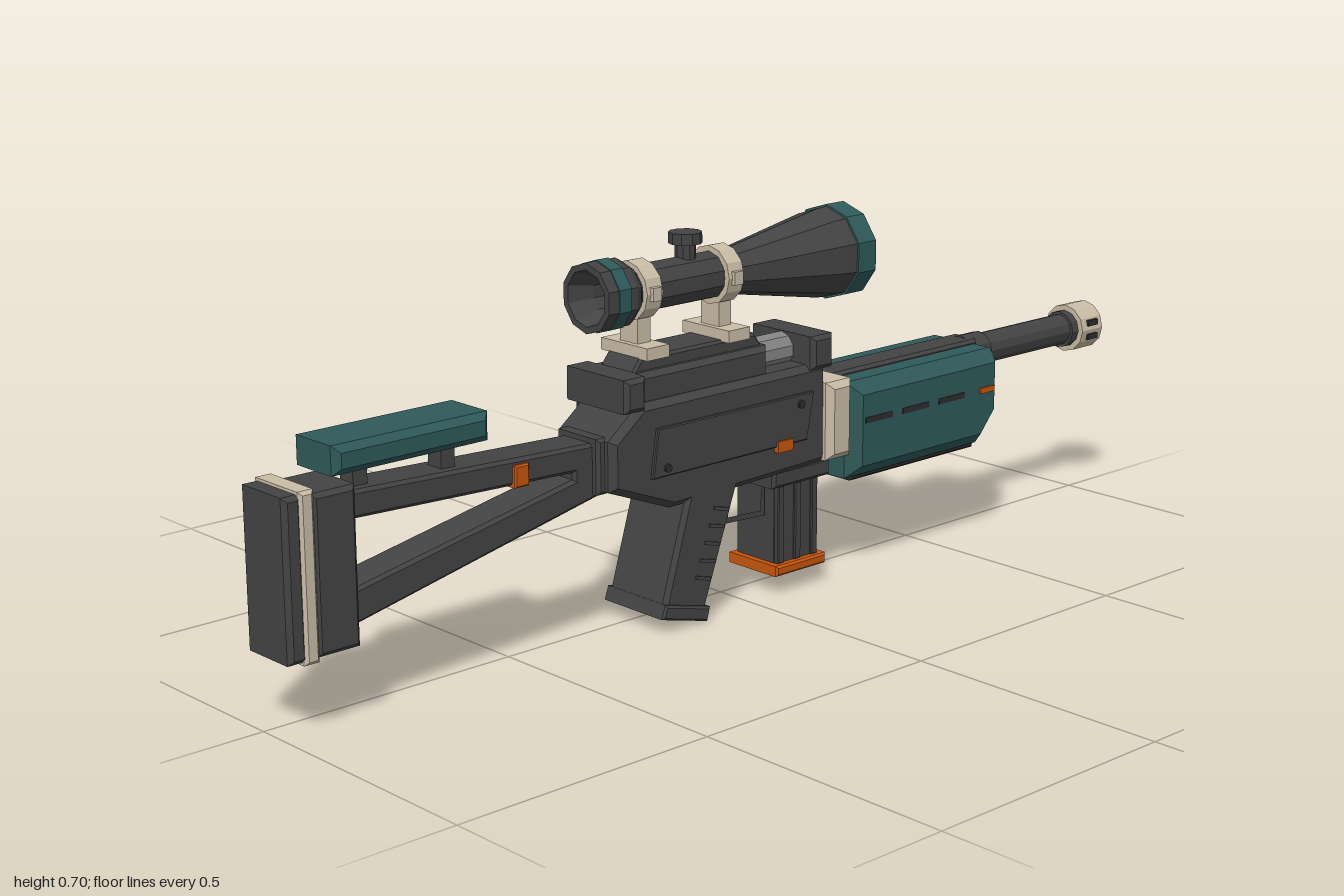
import * as THREE from 'three';

const mat = (name, color) => Object.assign(new THREE.MeshStandardMaterial({ color }), { name });

export function createModel() {
  const dark = mat('charcoal', 0x434343), black = mat('black rubber', 0x2d2d2d);
  const teal = mat('teal', 0x2f5a5a), cream = mat('cream', 0xcabda6);
  const orange = mat('orange', 0xc8560c), steel = mat('steel', 0x858585);

  const model = new THREE.Group();
  model.name = 'model';
  const body = new THREE.Group();
  body.name = 'body';
  body.position.x = 0.024; // the bolt handle sticks out on one side
  model.add(body);

  const add = (name, geo, material) => {
    const flat = geo.index ? geo.toNonIndexed() : geo;
    flat.computeVertexNormals();
    const mesh = new THREE.Mesh(flat, material);
    mesh.name = name;
    body.add(mesh);
    return mesh;
  };
  const poly = pts => pts.map(p => new THREE.Vector2(p[0], p[1]));

  // Side profile in (z, y), extruded across x with a chamfer
  const slab = (name, pts, width, material, bevel = 0.008, x = 0, hole = null) => {
    const shape = new THREE.Shape(poly(pts));
    if (hole) shape.holes.push(new THREE.Path(poly(hole)));
    const depth = width - 2 * bevel;
    const geo = new THREE.ExtrudeGeometry(shape, {
      depth, bevelEnabled: bevel > 0, bevelSegments: 1,
      bevelSize: bevel, bevelThickness: bevel, bevelOffset: -bevel,
    });
    geo.translate(0, 0, -depth / 2).rotateY(-Math.PI / 2).translate(x, 0, 0);
    return add(name, geo, material);
  };
  // Block from z and y ranges
  const block = (name, z0, z1, y0, y1, width, material, bevel = 0, x = 0) =>
    slab(name, [[z0, y0], [z1, y0], [z1, y1], [z0, y1]], width, material, bevel, x);
  // Turned part along z: [radius, z] points, outer wall towards +z
  const turned = (name, pts, y, material, sides = 10) =>
    add(name, new THREE.LatheGeometry(poly(pts), sides).rotateX(Math.PI / 2).translate(0, y, 0), material);
  const rod = (name, r, z0, z1, y, material, sides = 12) =>
    turned(name, [[0, z0], [r, z0], [r, z1], [0, z1]], y, material, sides);
  const tube = (name, r, inner, z0, z1, y, material, sides = 10) =>
    turned(name, [[inner, z0], [r, z0], [r, z1], [inner, z1], [inner, z0]], y, material, sides);

  // Shoulder stock
  block('buttPad', 0.965, 1, 0.13, 0.405, 0.12, dark, 0.008);
  block('buttPlate', 0.943, 0.972, 0.125, 0.41, 0.126, cream, 0.006);
  block('buttBlock', 0.86, 0.945, 0.13, 0.4, 0.116, dark, 0.008);
  slab('stockFrame', [[0.87, 0.385], [0.34, 0.365], [0.34, 0.27], [0.87, 0.158]], 0.08, dark, 0.006, 0,
    [[0.855, 0.337], [0.4, 0.321], [0.4, 0.309], [0.855, 0.222]]);
  block('stockCollar', 0.33, 0.36, 0.275, 0.375, 0.11, dark, 0.006);
  block('stockLatch', 0.503, 0.534, 0.323, 0.362, 0.096, orange, 0.003);
  block('cheekRest', 0.59, 0.9, 0.418, 0.468, 0.117, teal, 0.012);
  for (const z of [0.825, 0.65]) block('cheekRestPost', z - 0.014, z + 0.014, 0.37, 0.425, 0.035, dark);

  // Receiver
  slab('receiver', [[0.345, 0.37], [0.275, 0.425], [-0.175, 0.425], [-0.175, 0.235],
    [0.205, 0.225], [0.345, 0.28]], 0.15, dark, 0.012);
  block('rearBlock', 0.27, 0.318, 0.415, 0.475, 0.164, dark, 0.008);
  block('frontBlock', -0.185, -0.13, 0.415, 0.478, 0.164, dark, 0.008);
  block('upperReceiver', -0.04, 0.3, 0.415, 0.475, 0.122, dark, 0.01);
  slab('topRail', [[0.275, 0.465], [0.25, 0.498], [-0.02, 0.498], [-0.045, 0.465]], 0.088, dark, 0.005);
  rod('bolt', 0.032, -0.14, 0, 0.445, steel, 10);
  for (const s of [-1, 1]) {
    slab('sidePlate', [[0.245, 0.378], [-0.135, 0.378], [-0.118, 0.29], [0.258, 0.29]], 0.009, dark, 0.002, s * 0.077);
    block('safetyButton', -0.077, -0.04, 0.28, 0.301, 0.012, orange, 0, s * 0.08);
    for (const [z, y] of [[0.225, 0.305], [-0.1, 0.36]])
      add('pin', new THREE.CylinderGeometry(0.008, 0.008, 0.008, 8).rotateZ(Math.PI / 2)
        .translate(s * 0.082, y, z), black);
  }

  // Bolt handle on the model's right
  const handleZ = 0.24;
  add('boltHandleShaft', new THREE.CylinderGeometry(0.011, 0.011, 0.08, 8).rotateZ(Math.PI / 2)
    .translate(-0.09, 0.444, handleZ), steel);
  add('boltHandleArm', new THREE.CylinderGeometry(0.011, 0.011, 0.085, 8).translate(-0.125, 0.407, handleZ), dark);
  add('boltHandleKnob', new THREE.SphereGeometry(0.025, 14, 10).translate(-0.125, 0.35, handleZ), steel);

  // Grip with finger ribs
  slab('grip', [[0.155, 0.29], [0.03, 0.29], [0.045, 0.245], [0.127, 0.02], [0.228, 0.046]], 0.15, dark, 0.008);
  slab('gripCap', [[0.227, 0.053], [0.12, 0.026], [0.127, 0], [0.236, 0.028]], 0.16, dark, 0.004);
  for (let i = 0; i < 5; i++) {
    const y = 0.075 + i * 0.03, z = 0.12 - i * 0.011;
    slab('gripRib', [[z, y], [z + 0.035, y + 0.009], [z + 0.033, y + 0.015], [z - 0.002, y + 0.006]], 0.156, dark, 0);
  }

  // Trigger and guard
  slab('triggerGuard', [[0.05, 0.24], [0.035, 0.15], [-0.065, 0.145], [-0.065, 0.24]], 0.05, dark, 0, 0,
    [[0.04, 0.235], [0.027, 0.16], [-0.055, 0.156], [-0.055, 0.235]]);
  slab('trigger', [[0.022, 0.235], [0.02, 0.205], [0.034, 0.18], [0.024, 0.18], [0.006, 0.205], [0.002, 0.235]], 0.02, steel, 0);

  // Magazine
  block('magazineWell', -0.195, -0.048, 0.205, 0.24, 0.132, dark, 0.006);
  block('magazine', -0.172, -0.07, 0.05, 0.215, 0.1, dark, 0.006);
  for (const z of [-0.165, -0.122, -0.079]) block('magazineRib', z - 0.008, z + 0.008, 0.056, 0.205, 0.11, dark, 0.002);
  block('magazineBase', -0.186, -0.058, 0.036, 0.056, 0.13, orange, 0.004);

  // Handguard
  block('handguardCollar', -0.228, -0.165, 0.24, 0.387, 0.184, cream, 0.012);
  slab('handguard', [[-0.225, 0.376], [-0.625, 0.376], [-0.64, 0.36], [-0.64, 0.25], [-0.59, 0.192], [-0.225, 0.192]],
    0.19, teal, 0.024);
  block('handguardTopStrip', -0.635, -0.2, 0.34, 0.384, 0.064, dark, 0.006);
  block('handguardUnderside', -0.592, -0.25, 0.181, 0.2, 0.13, black, 0.004);
  for (const s of [-1, 1]) {
    for (let i = 0; i < 3; i++)
      block('ventSlot', -0.328 - i * 0.1, -0.256 - i * 0.1, 0.297, 0.308, 0.006, black, 0, s * 0.0935);
    block('handguardMarker', -0.612, -0.572, 0.297, 0.308, 0.009, orange, 0, s * 0.0945);
  }

  // Barrel and muzzle
  const barrelY = 0.352;
  rod('barrel', 0.031, -0.95, -0.55, barrelY, dark);
  rod('barrelSleeve', 0.036, -0.675, -0.62, barrelY, dark);
  rod('muzzleCollar', 0.037, -0.945, -0.92, barrelY, dark);
  tube('muzzle', 0.048, 0.016, -1, -0.938, barrelY, cream, 12);
  rod('bore', 0.017, -0.985, -0.94, barrelY, black);
  for (const s of [-1, 1]) for (const y of [-0.014, 0.014])
    block('muzzleSlot', -0.985, -0.955, barrelY + y - 0.006, barrelY + y + 0.006, 0.008, black, 0, s * 0.0445);

  // Scope: hollow, open at both ends
  const scopeY = 0.608;
  turned('scopeTube', [[0.079, -0.28], [0.085, -0.25], [0.083, -0.22], [0.043, 0], [0.043, 0.245], [0.054, 0.255],
    [0.062, 0.27], [0.062, 0.335], [0.05, 0.335], [0.035, 0.29], [0.035, 0], [0.072, -0.22], [0.079, -0.28]], scopeY, dark);
  tube('objectiveRing', 0.0885, 0.077, -0.288, -0.243, scopeY, teal);
  tube('eyepieceRing', 0.064, 0.055, 0.285, 0.312, scopeY, teal);

  // Scope mounts
  for (const z of [0.225, 0.033]) {
    tube('scopeRing', 0.053, 0.042, z - 0.018, z + 0.018, scopeY, cream, 12);
    block('scopeRingStem', z - 0.015, z + 0.015, 0.505, 0.565, 0.046, cream);
    block('scopeMountFoot', z - 0.026, z + 0.026, 0.495, 0.517, 0.12, cream);
    for (const s of [-1, 1]) block('ringLug', z - 0.01, z + 0.01, scopeY - 0.012, scopeY + 0.012, 0.012, cream, 0, s * 0.053);
  }

  // Adjustment turrets
  const turretZ = 0.107;
  add('turretStem', new THREE.CylinderGeometry(0.019, 0.019, 0.05, 10).translate(0, 0.655, turretZ), dark);
  add('turretKnob', new THREE.CylinderGeometry(0.03, 0.03, 0.02, 10).translate(0, 0.683, turretZ), dark);
  add('sideTurret', new THREE.CylinderGeometry(0.024, 0.024, 0.03, 10).rotateZ(Math.PI / 2)
    .translate(-0.05, scopeY, turretZ), dark);

  return model;
}
